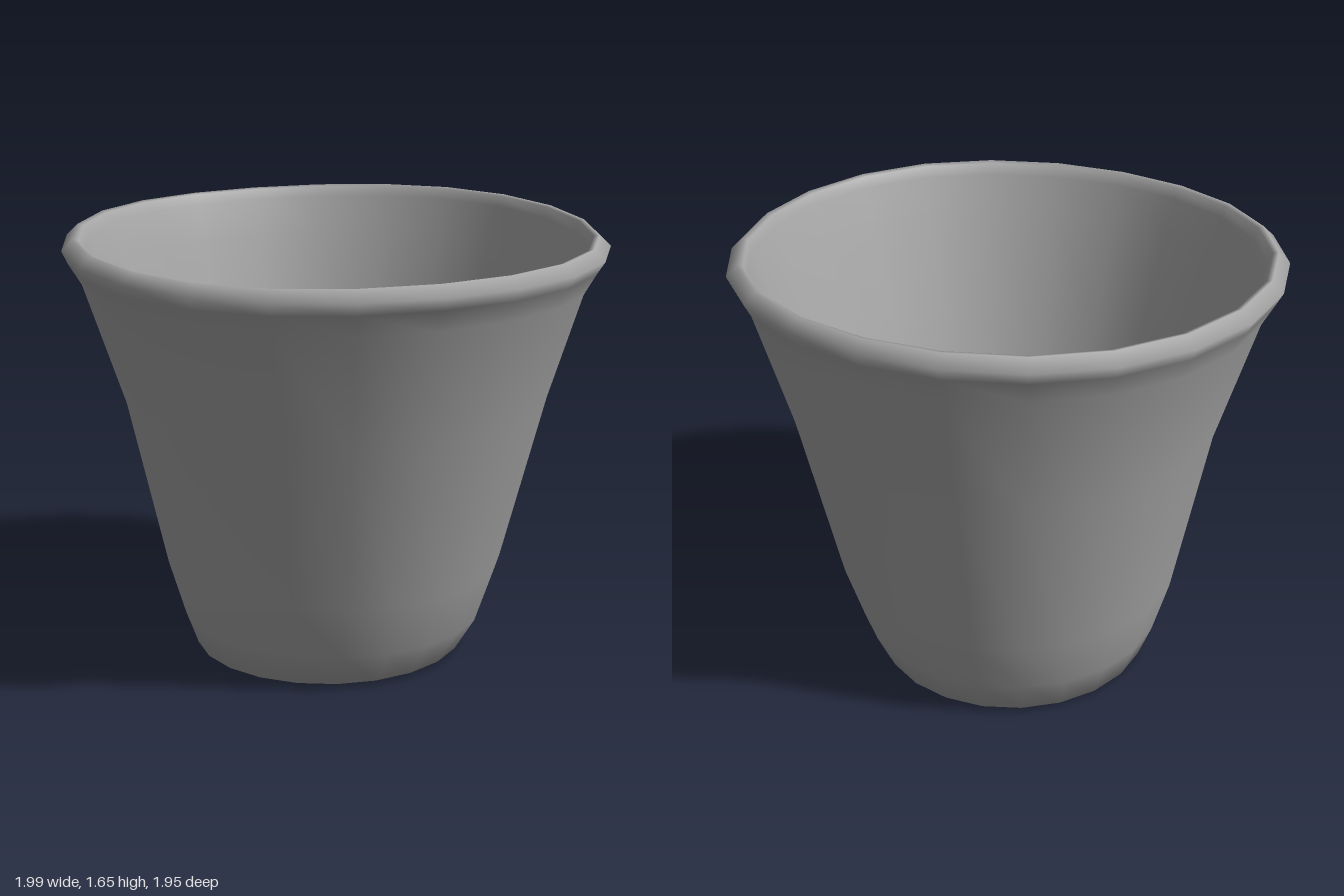
import * as THREE from 'three';

const SEGMENTS = 22;

// Rings from the drain hole up the inside, over the lip and down the outside.
// [height, centre x, centre z, radius x, radius z, tilt]
const RINGS = [
  [0.045, -0.18, 0.02, 0.035, 0.04, 0],
  [0.08, -0.17, -0.01, 0.09, 0.1, 0],
  [0.1, -0.07, -0.04, 0.3, 0.3, 0],
  [0.12, -0.04, -0.04, 0.46, 0.45, 0],
  [0.2, -0.04, -0.04, 0.53, 0.54, 0],
  [0.42, -0.035, -0.04, 0.6, 0.6, 0.1],
  [1.0, -0.015, -0.02, 0.74, 0.73, 0.4],
  [1.44, 0, -0.01, 0.87, 0.87, 0.9],
  [1.57, 0, -0.01, 0.92, 0.91, 1],
  [1.61, 0, -0.005, 0.935, 0.925, 1],
  [1.615, 0, -0.005, 0.955, 0.945, 1],
  [1.575, 0, -0.005, 0.997, 0.985, 1],
  [1.53, -0.003, -0.005, 0.97, 0.965, 1],
  [1.45, -0.005, -0.01, 0.925, 0.92, 0.9],
  [1.0, -0.012, -0.025, 0.785, 0.78, 0.4],
  [0.36, -0.045, -0.05, 0.64, 0.635, 0.1],
  [0.15, -0.05, -0.05, 0.575, 0.57, 0],
  [0.02, -0.065, -0.05, 0.51, 0.52, 0],
  [0.008, -0.08, -0.04, 0.4, 0.4, 0],
  [0.004, -0.15, 0, 0.13, 0.13, 0],
  [0.045, -0.18, 0.02, 0.035, 0.04, 0],
];

function potGeometry() {
  const positions = [], indices = [];
  RINGS.forEach(([y, cx, cz, rx, rz, tilt], i) => {
    for (let j = 0; j < SEGMENTS; j++) {
      const a = (j / SEGMENTS) * Math.PI * 2;
      const c = Math.cos(a), s = Math.sin(a);
      // The handmade lip leans towards the front left and waves slightly
      const lean = tilt * (-0.025 * c - 0.035 * s + 0.006 * Math.sin(3 * a));
      positions.push(cx + rx * c, y + lean, cz + rz * s);
      if (i < RINGS.length - 1) {
        const k = (j + 1) % SEGMENTS;
        const p = i * SEGMENTS, q = p + SEGMENTS;
        indices.push(p + j, p + k, q + j, p + k, q + k, q + j);
      }
    }
  });
  const g = new THREE.BufferGeometry();
  g.setAttribute('position', new THREE.Float32BufferAttribute(positions, 3));
  g.setIndex(indices);
  g.computeVertexNormals();
  return g;
}

export function createModel() {
  const group = new THREE.Group();
  group.name = 'flowerPot';
  const clay = new THREE.MeshStandardMaterial({ color: 0xa6a6a6 });
  clay.name = 'grey clay';
  // Wall, lip and pierced floor form one continuous skin
  const pot = new THREE.Mesh(potGeometry(), clay);
  pot.name = 'potBody';
  group.add(pot);
  return group;
}
